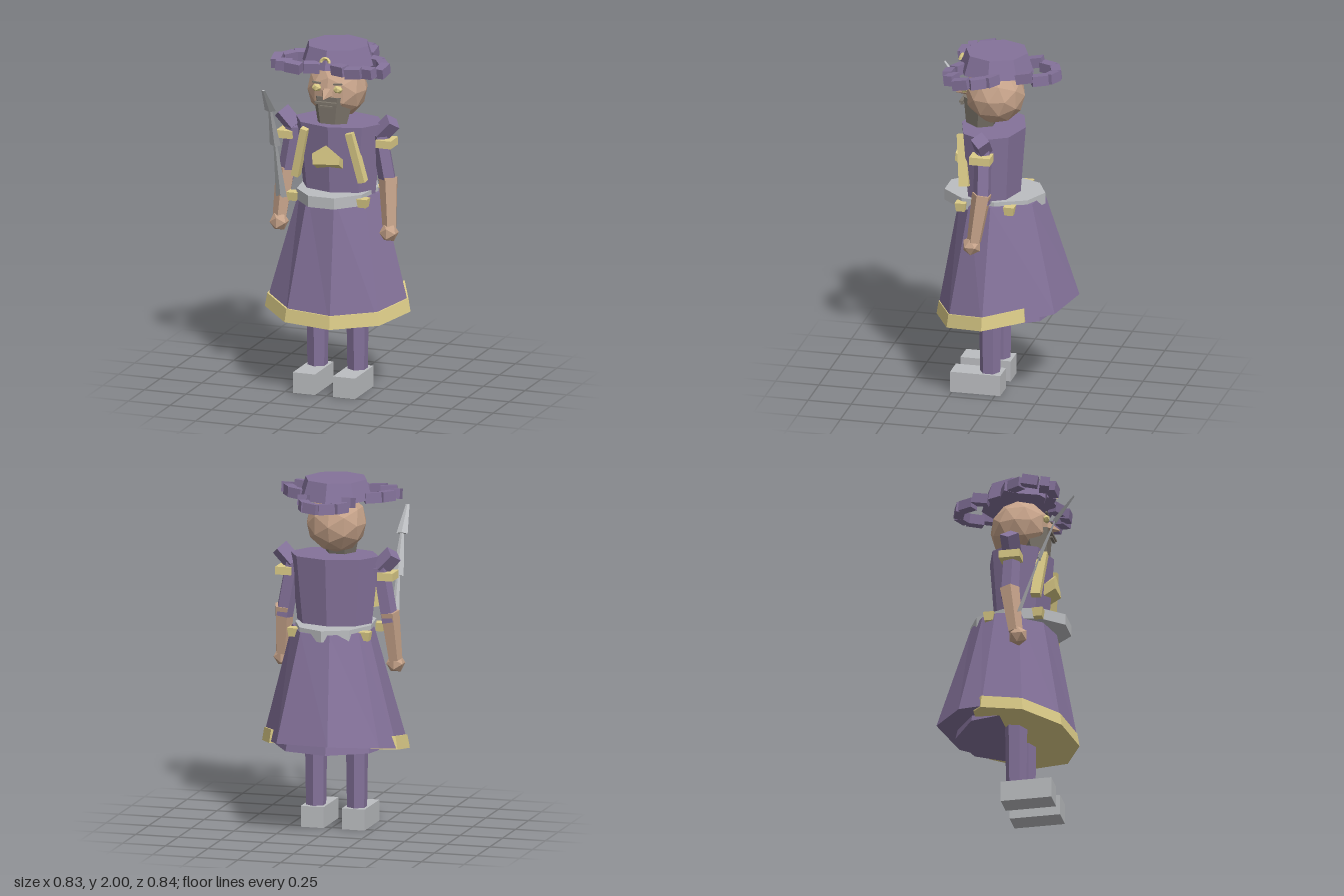
import * as THREE from 'three';

const material = (name, color) => {
  const m = new THREE.MeshStandardMaterial({ color, flatShading: true });
  m.name = name;
  return m;
};

export function createModel() {
  const purple = material('purple cloth', 0x84729a);
  const gold = material('gold trim', 0xdccc88);
  const steel = material('steel', 0xbbbdc0);
  const skin = material('skin', 0xc6a38a);
  const dark = material('dark hair', 0x7d766c);

  const model = new THREE.Group();
  model.name = 'figure';
  const body = new THREE.Group();
  body.name = 'body';
  body.position.x = -0.013;
  model.add(body);

  const add = (parent, name, geo, mat, pos = [0, 0, 0], rot = [0, 0, 0], scale = [1, 1, 1]) => {
    const m = new THREE.Mesh(geo, mat);
    m.name = name;
    m.position.set(...pos);
    m.rotation.set(...rot);
    m.scale.set(...scale);
    parent.add(m);
    return m;
  };
  const box = (w, h, d) => new THREE.BoxGeometry(w, h, d);
  const cyl = (rt, rb, h, n, start = 0) => new THREE.CylinderGeometry(rt, rb, h, n, 1, false, start);
  // Tapered prism running from point b (bottom) up to point a (top)
  const limb = (parent, name, a, b, ra, rb, n, mat, flat = 1) => {
    const va = new THREE.Vector3(...a), vb = new THREE.Vector3(...b);
    const dir = va.clone().sub(vb);
    const m = add(parent, name, cyl(ra, rb, dir.length(), n), mat, va.add(vb).multiplyScalar(0.5).toArray(),
      [0, 0, 0], [1, 1, flat]);
    m.quaternion.setFromUnitVectors(new THREE.Vector3(0, 1, 0), dir.normalize());
    return m;
  };

  // Solid over an outline of x, z points; the rule places each vertex of its bottom and top
  const hemY = (z) => 0.478 - 0.153 * z;
  const loft = (outline, place) => {
    const shape = new THREE.Shape(outline.map(([x, z]) => new THREE.Vector2(x, -z)));
    const geo = new THREE.ExtrudeGeometry(shape, { depth: 1, bevelEnabled: false });
    geo.rotateX(-Math.PI / 2);
    const p = geo.attributes.position;
    for (let i = 0; i < p.count; i++) p.setXYZ(i, ...place(p.getX(i), p.getZ(i), p.getY(i) > 0.5));
    geo.computeVertexNormals();
    return geo;
  };
  // Skirt with a hem that rises towards the back
  const front = [[-0.414, -0.1], [-0.414, 0.14], [-0.225, 0.325], [0.06, 0.367], [0.315, 0.245], [0.416, 0.02]];
  const hem = [...front, [0.222, -0.36], [-0.1, -0.425], [-0.353, -0.243]];
  add(model, 'skirt', loft(hem, (x, z, top) => {
    const k = top ? 0.238 / Math.hypot(x, z) : 0.988;
    return [x * k, top ? 1.15 : hemY(z) + 0.006, z * k];
  }), purple);
  add(model, 'innerSkirt', cyl(0.2, 0.335, 0.61, 8, 0.17), purple, [0, 0.783, 0.01]);
  // Gold band around the front and sides of the hem
  add(model, 'hemBand', loft([[-0.347, -0.155], ...front, [0.307, -0.205]], (x, z, top) => {
    const k = top ? 0.968 : 1;
    return [x * k, hemY(z) + (top ? 0.074 : -0.002), z * k];
  }), gold);

  // Torso, belt and chest trim
  add(model, 'torso', cyl(0.26, 0.215, 0.42, 8), purple, [0, 1.35, 0.05], [0, 0, 0], [1, 1, 0.71]);
  add(body, 'belt', cyl(0.225, 0.225, 0.065, 9, Math.PI / 9), steel, [0.005, 1.142, 0.045], [0, 0, 0], [1, 1, 1.29]);
  const emblemShape = new THREE.Shape([[-0.075, -0.035], [0.082, -0.025], [0.085, 0.022], [0, 0.08], [-0.083, 0.025]]
    .map((p) => new THREE.Vector2(...p)));
  const emblem = new THREE.ExtrudeGeometry(emblemShape, { depth: 0.07, bevelEnabled: false });
  // Underside slopes down to the chest
  const ep = emblem.attributes.position;
  for (let i = 0; i < ep.count; i++) if (ep.getZ(i) < 0.01) ep.setY(i, ep.getY(i) - 0.03);
  emblem.computeVertexNormals();
  add(body, 'chestEmblem', emblem, gold, [0.007, 1.37, 0.185], [-0.12, 0, 0]);

  // Mirrored parts
  for (const s of [-1, 1]) {
    add(body, 'lapel', box(0.042, 0.295, 0.055), gold, [s * 0.168, 1.39, 0.188], [0.1, 0, s * 0.23]);
    for (const z of [-0.09, 0.19]) {
      add(body, 'beltClip', cyl(0.044, 0.034, 0.05, 4, Math.PI / 4), gold, [s * 0.21, 1.13, z]);
    }

    add(body, 'leg', cyl(0.066, 0.058, 0.5, 6), purple, [s * 0.12, 0.36, 0.045]);
    add(body, 'boot', box(0.133, 0.12, 0.29), steel, [s * 0.12, 0.06, 0.115]);

    limb(body, 'shoulderPad', [s * 0.335, 1.58, 0.05], [s * 0.255, 1.495, 0.05], 0.054, 0.054, 4, purple);
    limb(body, 'sleeve', [s * 0.255, 1.5, 0.05], [s * 0.31, 1.19, 0.045], 0.05, 0.052, 5, purple);
    add(body, 'armBand', box(0.092, 0.045, 0.12), gold, [s * 0.298, 1.455, 0.052]);
    limb(body, 'forearm', [s * 0.308, 1.25, 0.045], [s * 0.33, 0.97, 0.085], 0.058, 0.042, 5, skin);
    add(body, 'hand', new THREE.IcosahedronGeometry(0.056, 0), skin, [s * 0.33, 0.945, 0.1]);

    add(body, 'eye', new THREE.IcosahedronGeometry(0.03, 0), gold, [s * 0.064, 1.778, 0.207], [0, 0, 0], [1, 0.8, 0.7]);
    add(body, 'brow', box(0.05, 0.008, 0.012), dark, [s * 0.064, 1.809, 0.21], [0, 0, s * 0.1]);
  }

  // Head and face
  add(body, 'head', new THREE.IcosahedronGeometry(0.172, 1), skin, [0, 1.745, 0.045]);
  add(body, 'beard', cyl(0.122, 0.088, 0.155, 6, Math.PI / 6), dark, [0, 1.638, 0.118], [-0.13, 0, 0]);
  add(body, 'moustache', box(0.13, 0.012, 0.02), dark, [0, 1.698, 0.228]);
  add(body, 'lip', box(0.08, 0.01, 0.015), dark, [0, 1.677, 0.228]);
  add(body, 'nose', new THREE.ConeGeometry(0.036, 0.075, 5), skin, [0, 1.74, 0.24], [1.9, 0, 0]);

  // Hat crown, badge and three-cornered rope brim
  add(body, 'hatCrown', cyl(0.178, 0.214, 0.11, 8), purple, [0, 1.945, 0.035]);
  add(body, 'hatBadge', new THREE.TorusGeometry(0.026, 0.009, 4, 6, Math.PI), gold, [0, 1.936, 0.244], [-0.3, 0, 0]);
  // x, z, turn of each brim block on one side
  const brim = [
    [0.085, 0.235, -0.4], [0.18, 0.267, 0.05], [0.25, 0.235, -0.25], [0.315, 0.165, 1.45],
    [0.282, 0.08, -1], [0.222, 0.015, -0.45], [0.13, -0.155, 1.6], [0.103, -0.237, -1.1], [0.043, -0.295, -0.35],
  ];
  for (const s of [-1, 1]) {
    brim.forEach(([x, z, turn], i) => {
      add(body, 'brimBlock', box(0.092, 0.058, 0.054), purple, [s * x, i > 6 ? 1.886 : 1.902, z],
        [0.12, s * turn, s * 0.08]);
    });
  }

  // Jointed spear in the right hand
  const spear = new THREE.Group();
  spear.name = 'spear';
  model.add(spear);
  const joints = [[-0.318, 1.79, 0.415], [-0.318, 1.645, 0.305], [-0.322, 1.42, 0.215], [-0.33, 1.09, 0.1]];
  for (let i = 0; i < 3; i++) limb(spear, 'spearSegment', joints[i], joints[i + 1], 0.011, 0.033, 4, steel, 0.35);

  return model;
}
